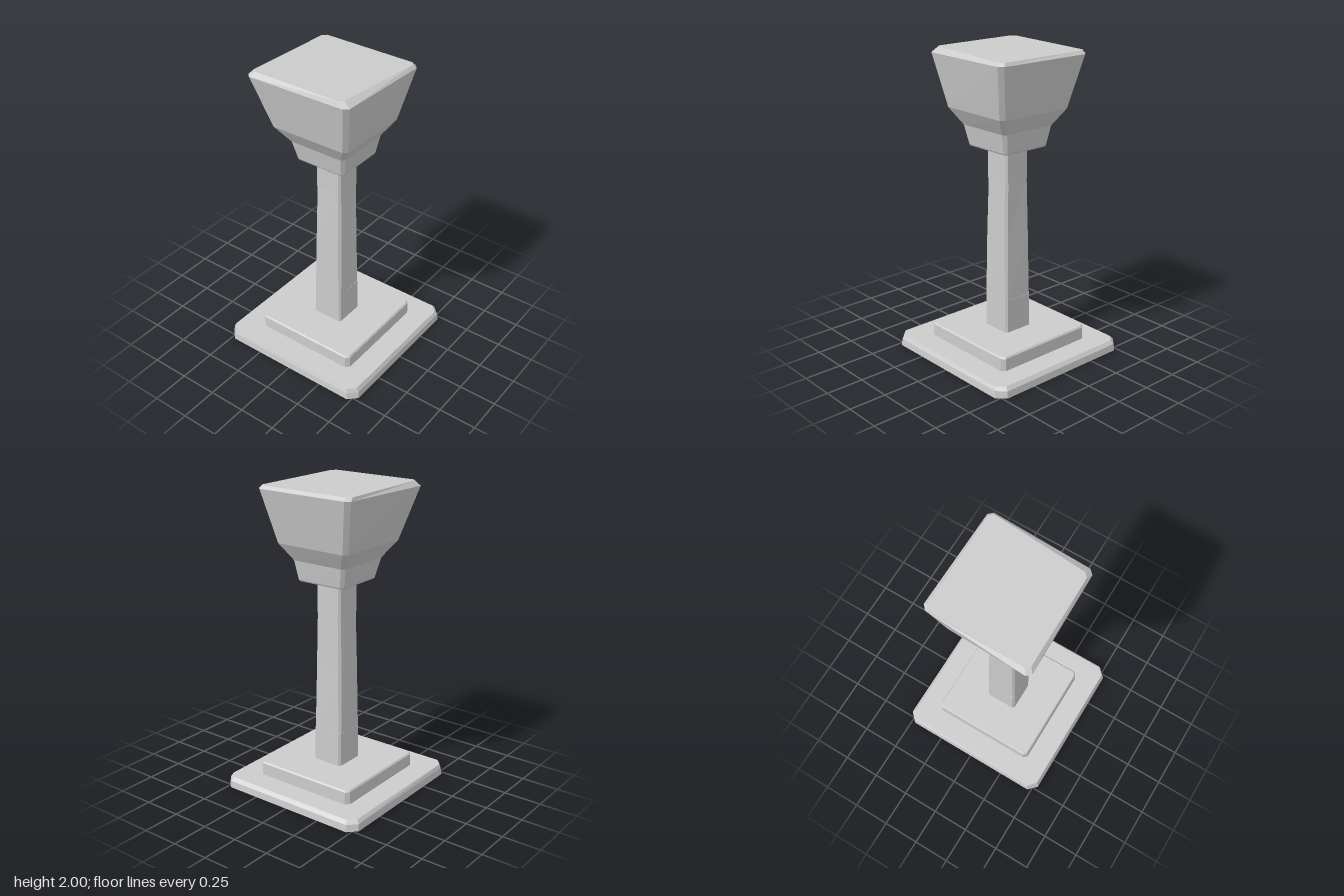
import * as THREE from 'three';

const material = new THREE.MeshStandardMaterial({ color: 0xcccccc, flatShading: true });

// Four corners of a square: front left, front right, back right, back left (seen from the front)
const square = (h) => [[-h, h], [h, h], [h, -h], [-h, -h]];

// Cuts each corner of a four-sided outline, giving eight points at height y
function ring({ y, cut, corners, tilt = 0 }) {
  const points = [];
  corners.forEach(([x, z], i) => {
    for (const step of [3, 1]) {
      const [nx, nz] = corners[(i + step) % 4];
      const t = cut / Math.hypot(nx - x, nz - z);
      const px = x + (nx - x) * t;
      points.push(new THREE.Vector3(px, y - tilt * px, z + (nz - z) * t));
    }
  });
  return points;
}

// Skins a stack of rings, bottom to top, and caps both ends
function loft(name, levels) {
  const rings = levels.map(ring);
  const n = rings[0].length;
  const positions = [];
  const tri = (...pts) => pts.forEach((p) => positions.push(p.x, p.y, p.z));
  for (let r = 0; r < rings.length - 1; r++) {
    const lo = rings[r], hi = rings[r + 1];
    for (let i = 0; i < n; i++) {
      const j = (i + 1) % n;
      tri(lo[i], lo[j], hi[j]);
      tri(lo[i], hi[j], hi[i]);
    }
  }
  const bottom = rings[0], top = rings[rings.length - 1];
  for (let i = 1; i < n - 1; i++) {
    tri(bottom[0], bottom[i + 1], bottom[i]);
    tri(top[0], top[i], top[i + 1]);
  }
  const geometry = new THREE.BufferGeometry();
  geometry.setAttribute('position', new THREE.Float32BufferAttribute(positions, 3));
  geometry.computeVertexNormals();
  const mesh = new THREE.Mesh(geometry, material);
  mesh.name = name;
  return mesh;
}

export function createModel() {
  const model = new THREE.Group();
  model.name = 'stonePedestal';

  // Wide bottom slab with cut corners and a bevelled rim
  model.add(loft('baseSlab', [
    { y: 0, cut: 0.055, corners: square(0.53) },
    { y: 0.045, cut: 0.055, corners: square(0.525) },
    { y: 0.07, cut: 0.045, corners: [[-0.515, 0.51], [0.505, 0.51], [0.505, -0.507], [-0.515, -0.515]], tilt: 0.004 },
  ]));

  // Smaller step on the slab
  model.add(loft('baseStep', [
    { y: 0.05, cut: 0.025, corners: square(0.362) },
    { y: 0.15, cut: 0.022, corners: square(0.36) },
    { y: 0.16, cut: 0.018, corners: square(0.352) },
  ]));

  // Slightly tapering post, in three blocks
  model.add(loft('postFoot', [
    { y: 0.15, cut: 0.014, corners: square(0.108) },
    { y: 0.385, cut: 0.014, corners: square(0.106) },
  ]));
  model.add(loft('postShaft', [
    { y: 0.38, cut: 0.014, corners: [[-0.106, 0.106], [0.105, 0.104], [0.104, -0.106], [-0.107, -0.104]] },
    { y: 0.8, cut: 0.015, corners: [[-0.1, 0.101], [0.095, 0.1], [0.098, -0.1], [-0.101, -0.098]] },
    { y: 1.18, cut: 0.015, corners: square(0.092) },
  ]));
  model.add(loft('postNeck', [
    { y: 1.175, cut: 0.012, corners: square(0.093) },
    { y: 1.4, cut: 0.012, corners: square(0.092) },
  ]));

  // Flaring, uneven capital
  model.add(loft('capital', [
    { y: 1.385, cut: 0.012, corners: square(0.172) },
    { y: 1.395, cut: 0.018, corners: square(0.178) },
    { y: 1.52, cut: 0.022, corners: [[-0.205, 0.203], [0.197, 0.203], [0.2, -0.203], [-0.207, -0.207]] },
    { y: 1.63, cut: 0.025, corners: [[-0.275, 0.27], [0.262, 0.277], [0.27, -0.272], [-0.28, -0.285]] },
    { y: 1.967, cut: 0.028, corners: [[-0.353, 0.332], [0.337, 0.355], [0.347, -0.345], [-0.365, -0.388]] },
    { y: 1.993, cut: 0.025, corners: [[-0.34, 0.285], [0.322, 0.338], [0.325, -0.34], [-0.342, -0.358]], tilt: 0.018 },
  ]));

  return model;
}
